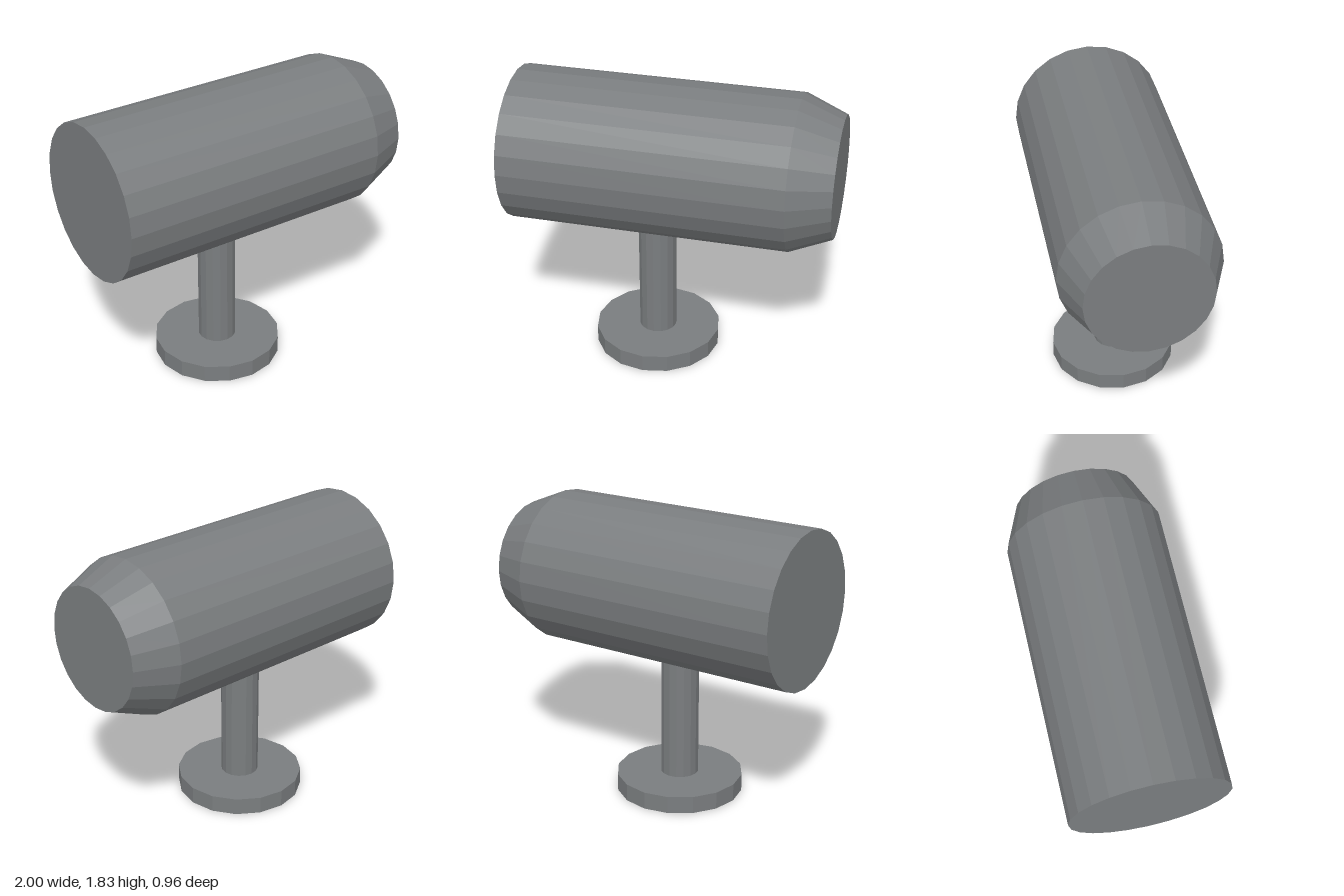
import * as THREE from 'three';

const material = new THREE.MeshStandardMaterial({ color: 0x7a7d7f, flatShading: true });

function addCylinder(group, name, rTop, rBottom, height, sides) {
  const geometry = new THREE.CylinderGeometry(rTop, rBottom, height, sides);
  const mesh = new THREE.Mesh(geometry, material);
  mesh.name = name;
  group.add(mesh);
  return mesh;
}

export function createModel() {
  const model = new THREE.Group();
  model.name = 'spotlight';

  // Round foot and upright post
  const postX = -0.128;
  addCylinder(model, 'base', 0.402, 0.402, 0.11, 16).position.set(postX, 0.055, 0);
  addCylinder(model, 'post', 0.12, 0.12, 0.8, 16).position.set(postX, 0.5, 0);

  // Horizontal housing with a tapered nose, laid along the x axis
  const housing = new THREE.Group();
  housing.name = 'housing';
  housing.rotation.z = -Math.PI / 2;
  housing.position.y = 1.345;
  addCylinder(housing, 'barrel', 0.481, 0.481, 1.743, 24).position.y = -0.1285;
  addCylinder(housing, 'nose', 0.375, 0.481, 0.257, 24).position.y = 0.8715;
  model.add(housing);

  return model;
}
